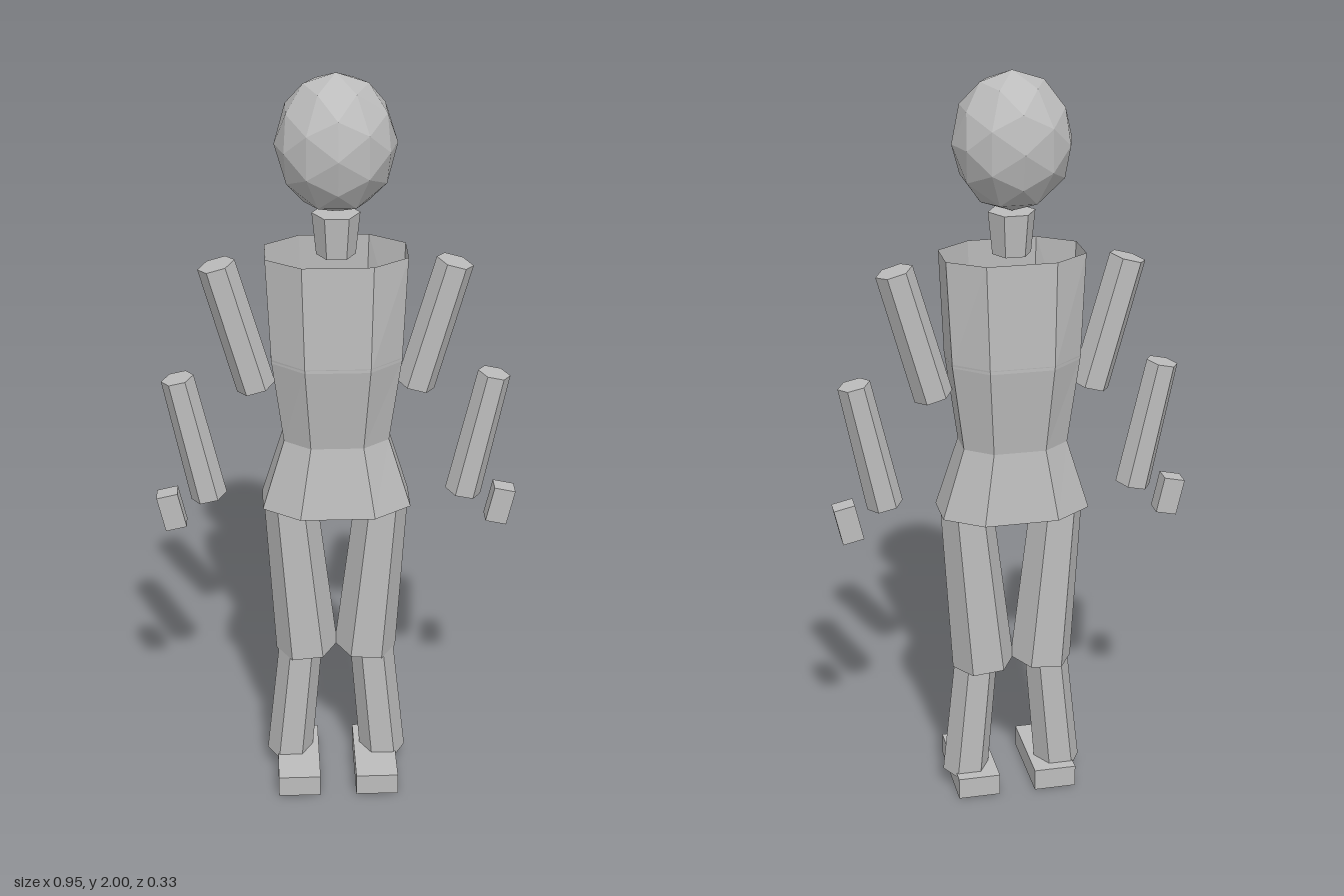
import * as THREE from 'three';

const grey = new THREE.MeshStandardMaterial({ color: 0xbcbcbc, flatShading: true, side: THREE.DoubleSide });
grey.name = 'plain grey';

function add(parent, geometry, name) {
  const mesh = new THREE.Mesh(geometry, grey);
  mesh.name = name;
  parent.add(mesh);
  return mesh;
}

// Six-sided limb from a top point to a bottom point, corners facing sideways
function limb(parent, name, top, bottom, rTop, rBottom) {
  const a = new THREE.Vector3(...top), b = new THREE.Vector3(...bottom);
  const axis = a.clone().sub(b);
  const geometry = new THREE.CylinderGeometry(rTop, rBottom, axis.length(), 6, 1, false, Math.PI / 6);
  const mesh = add(parent, geometry, name);
  mesh.position.copy(a).add(b).multiplyScalar(0.5);
  mesh.quaternion.setFromUnitVectors(new THREE.Vector3(0, 1, 0), axis.normalize());
  return mesh;
}

// Open eight-sided shell through rings of [y, half width, half depth, centre z]
function shell(parent, name, rings) {
  const corners = [[0.5, 1], [1, 0.45], [1, -0.45], [0.5, -1], [-0.5, -1], [-1, -0.45], [-1, 0.45], [-0.5, 1]];
  const geometry = new THREE.CylinderGeometry(1, 1, 1, 8, rings.length - 1, true);
  const p = geometry.attributes.position;
  rings.forEach(([y, w, d, z], r) => {
    for (let i = 0; i <= 8; i++) {
      const [cx, cz] = corners[i % 8];
      p.setXYZ(r * 9 + i, cx * w, y, cz * d + z);
    }
  });
  geometry.computeVertexNormals();
  return add(parent, geometry, name);
}

export function createModel() {
  const model = new THREE.Group();
  model.name = 'figure';

  // Head and neck
  const head = add(model, new THREE.IcosahedronGeometry(1, 1), 'head');
  head.scale.set(0.153, 0.177, 0.153);
  head.position.set(0, 1.823, -0.012);
  limb(model, 'neck', [0, 1.645, -0.008], [0, 1.535, -0.008], 0.061, 0.05);

  // Torso, open at the shoulders and hem
  shell(model, 'chest', [
    [1.54, 0.18, 0.117, -0.013],
    [1.26, 0.167, 0.127, -0.012],
  ]);
  shell(model, 'waistAndHips', [
    [1.27, 0.168, 0.127, -0.012],
    [1.03, 0.137, 0.095, -0.015],
    [0.84, 0.195, 0.125, -0.01],
  ]);

  // Arms and legs, mirrored left and right
  for (const [side, s] of [['left', 1], ['right', -1]]) {
    limb(model, side + 'UpperArm', [s * 0.302, 1.508, -0.014], [s * 0.207, 1.168, -0.016], 0.049, 0.051);
    limb(model, side + 'Forearm', [s * 0.409, 1.206, 0.008], [s * 0.336, 0.865, 0.009], 0.043, 0.048);

    const hand = add(model, new THREE.BoxGeometry(0.057, 0.1, 0.05), side + 'Hand');
    hand.position.set(s * 0.436, 0.826, 0.007);
    hand.rotation.z = -s * 0.22;

    limb(model, side + 'Thigh', [s * 0.122, 0.845, -0.008], [s * 0.08, 0.381, -0.01], 0.07, 0.084);
    limb(model, side + 'Shin', [s * 0.098, 0.385, 0], [s * 0.13, 0.045, 0], 0.059, 0.063);

    const foot = add(model, new THREE.BoxGeometry(0.115, 0.06, 0.25), side + 'Foot');
    foot.position.set(s * 0.107, 0.03, 0.04);
  }
  return model;
}
